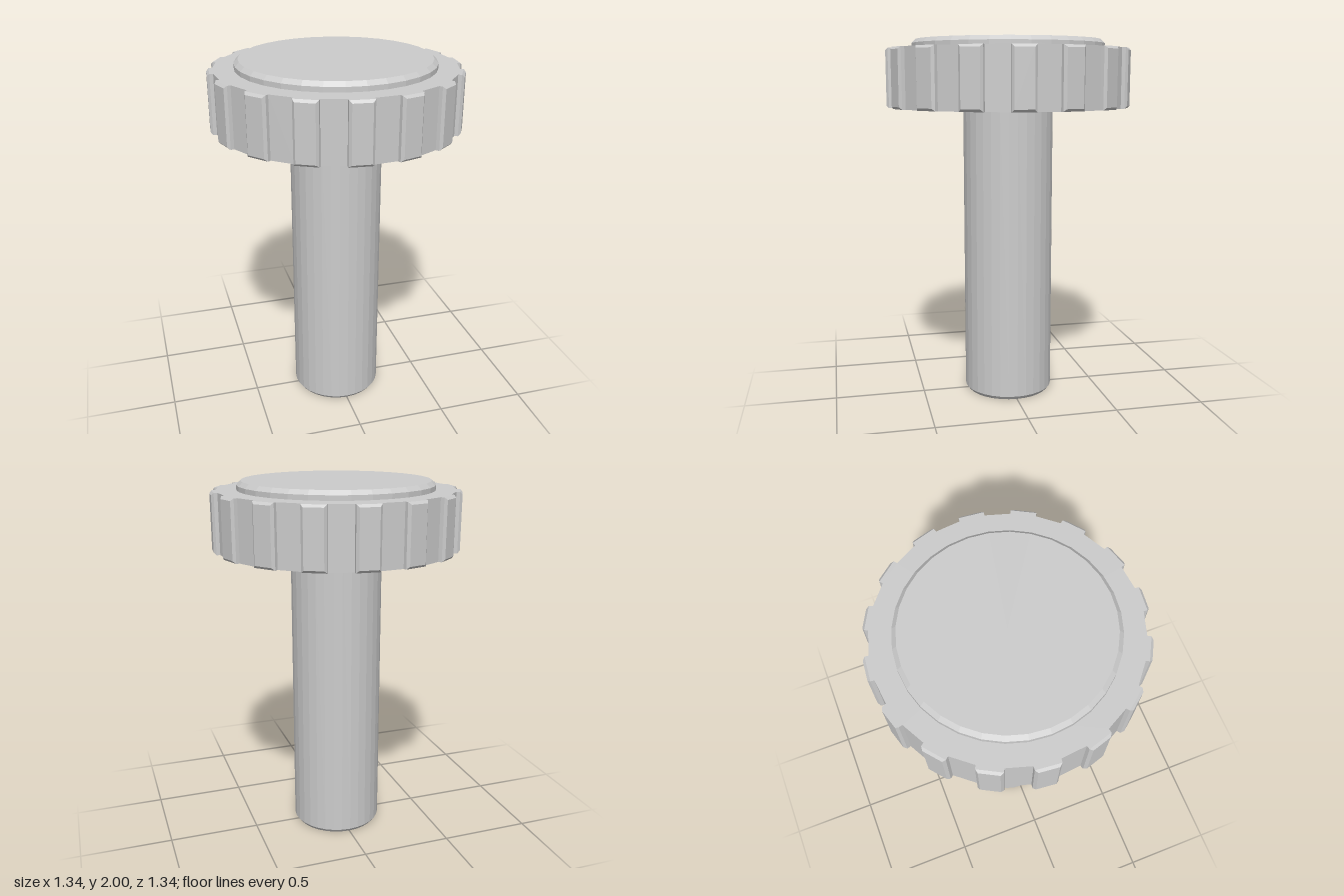
import * as THREE from 'three';

const SIDES = 32;
const TEETH = SIDES / 2;
const material = new THREE.MeshStandardMaterial({ color: 0xcccccc, flatShading: true });

// Faceted solid of revolution from [radius, y] pairs, listed bottom to top
function turned(name, profile) {
  const points = profile.map(([r, y]) => new THREE.Vector2(r, y));
  const mesh = new THREE.Mesh(new THREE.LatheGeometry(points, SIDES), material);
  mesh.name = name;
  return mesh;
}

// Chamfered grip block, lying on one facet of the head and pointing along +z
function toothGeometry(width, bottom, top, start, end, chamfer) {
  const w = width / 2;
  const shape = new THREE.Shape([
    new THREE.Vector2(-w, bottom),
    new THREE.Vector2(w, bottom),
    new THREE.Vector2(w, top),
    new THREE.Vector2(-w, top),
  ]);
  return new THREE.ExtrudeGeometry(shape, {
    depth: end - chamfer - start,
    bevelEnabled: true,
    bevelSegments: 1,
    bevelThickness: chamfer,
    bevelSize: chamfer,
    bevelOffset: -chamfer,
  }).translate(0, 0, start);
}

export function createModel() {
  const model = new THREE.Group();
  model.name = 'thumbScrew';

  const headRadius = 0.64, headBottom = 1.632, headTop = 1.952;

  // Shaft with a small chamfer at its foot
  model.add(turned('shaft', [[0, 0], [0.235, 0], [0.25, 0.02], [0.25, headBottom]]));

  // Head with a raised, chamfered cap
  model.add(turned('head', [
    [0.25, headBottom], [headRadius, headBottom], [headRadius, headTop],
    [0.53, headTop], [0.53, 1.978], [0.508, 2], [0, 2],
  ]));

  // Grip teeth on every second facet of the head
  const grip = new THREE.Group();
  grip.name = 'gripTeeth';
  const halfFacet = Math.PI / SIDES;
  const width = 2 * headRadius * Math.sin(halfFacet);
  const geometry = toothGeometry(width, headBottom, headTop, 0.625, 0.669, 0.013);
  for (let i = 0; i < TEETH; i++) {
    const tooth = new THREE.Mesh(geometry, material);
    tooth.name = 'gripTooth';
    tooth.rotation.y = (i * 2 * Math.PI) / TEETH - halfFacet;
    grip.add(tooth);
  }
  model.add(grip);

  return model;
}
